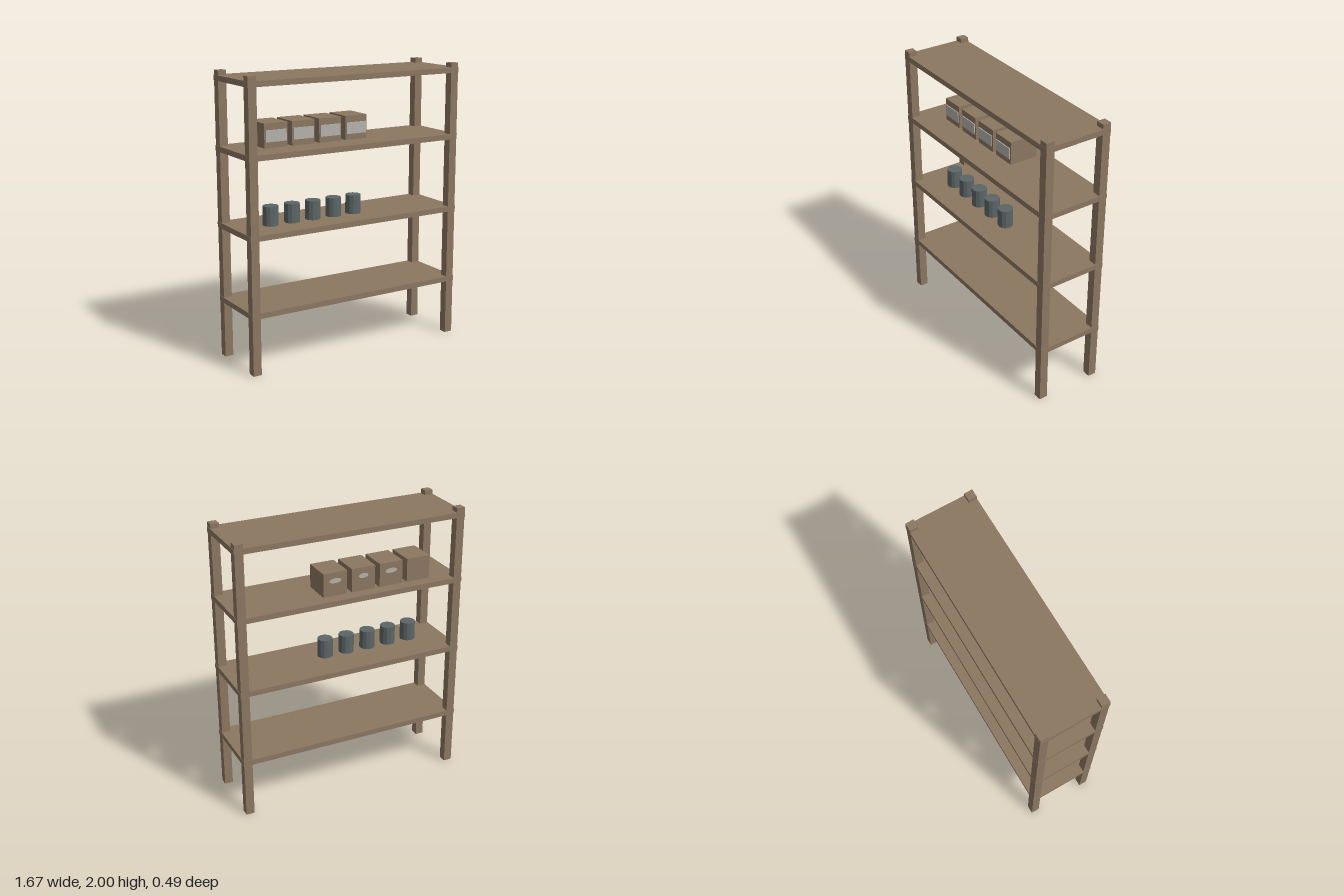
import * as THREE from 'three';

export function createModel() {
  const model = new THREE.Group();
  model.name = 'storageShelf';

  const material = (name, color, extra = {}) => {
    const m = new THREE.MeshStandardMaterial({ color, ...extra });
    m.name = name;
    return m;
  };
  const wood = material('wood', 0x8b7761);
  const label = material('paleLabel', 0xb4b2ab);
  const tin = material('greyTin', 0x5c6667, { flatShading: true });

  const add = (parent, name, geometry, mat, x, y, z) => {
    const mesh = new THREE.Mesh(geometry, mat);
    mesh.name = name;
    mesh.position.set(x, y, z);
    parent.add(mesh);
    return mesh;
  };

  // Four corner posts
  const postGeo = new THREE.BoxGeometry(0.06, 2, 0.06);
  for (const sx of [-1, 1]) {
    for (const sz of [-1, 1]) {
      add(model, (sz > 0 ? 'front' : 'back') + (sx > 0 ? 'Left' : 'Right') + 'Post',
        postGeo, wood, sx * 0.801, 1, sz * 0.214);
    }
  }

  // Four boards, slightly wider than the posts
  const boardGeo = new THREE.BoxGeometry(1.668, 0.038, 0.49);
  [0.415, 0.945, 1.475, 1.949].forEach((y, i) => add(model, 'shelfBoard' + (i + 1), boardGeo, wood, 0, y, 0));

  // Boxes with a front label and worn pale patches on the back
  const boxGeo = new THREE.BoxGeometry(0.175, 0.168, 0.21);
  const labelGeo = new THREE.BoxGeometry(0.157, 0.08, 0.007);
  const patchShape = new THREE.Shape();
  patchShape.absellipse(0, 0, 0.045, 0.018, 0, Math.PI * 2);
  const patchGeo = new THREE.ShapeGeometry(patchShape, 8);
  const patchWidths = [0, 1, 0.8, 1];
  for (let i = 0; i < 4; i++) {
    const box = new THREE.Group();
    box.name = 'box' + (i + 1);
    box.position.set(-0.532 + i * 0.211, 1.577, -0.055);
    add(box, 'carton', boxGeo, wood, 0, 0, 0);
    add(box, 'frontLabel', labelGeo, label, 0, -0.002, 0.1085);
    if (patchWidths[i]) {
      const patch = add(box, 'backPatch', patchGeo, label, 0, 0.025, -0.1065);
      patch.rotation.y = Math.PI;
      patch.scale.x = patchWidths[i];
    }
    model.add(box);
  }

  // Row of faceted tins
  const tinGeo = new THREE.CylinderGeometry(0.054, 0.054, 0.134, 12);
  for (let i = 0; i < 5; i++) {
    add(model, 'tin' + (i + 1), tinGeo, tin, -0.568 + i * 0.165, 1.031, 0.025);
  }

  return model;
}
